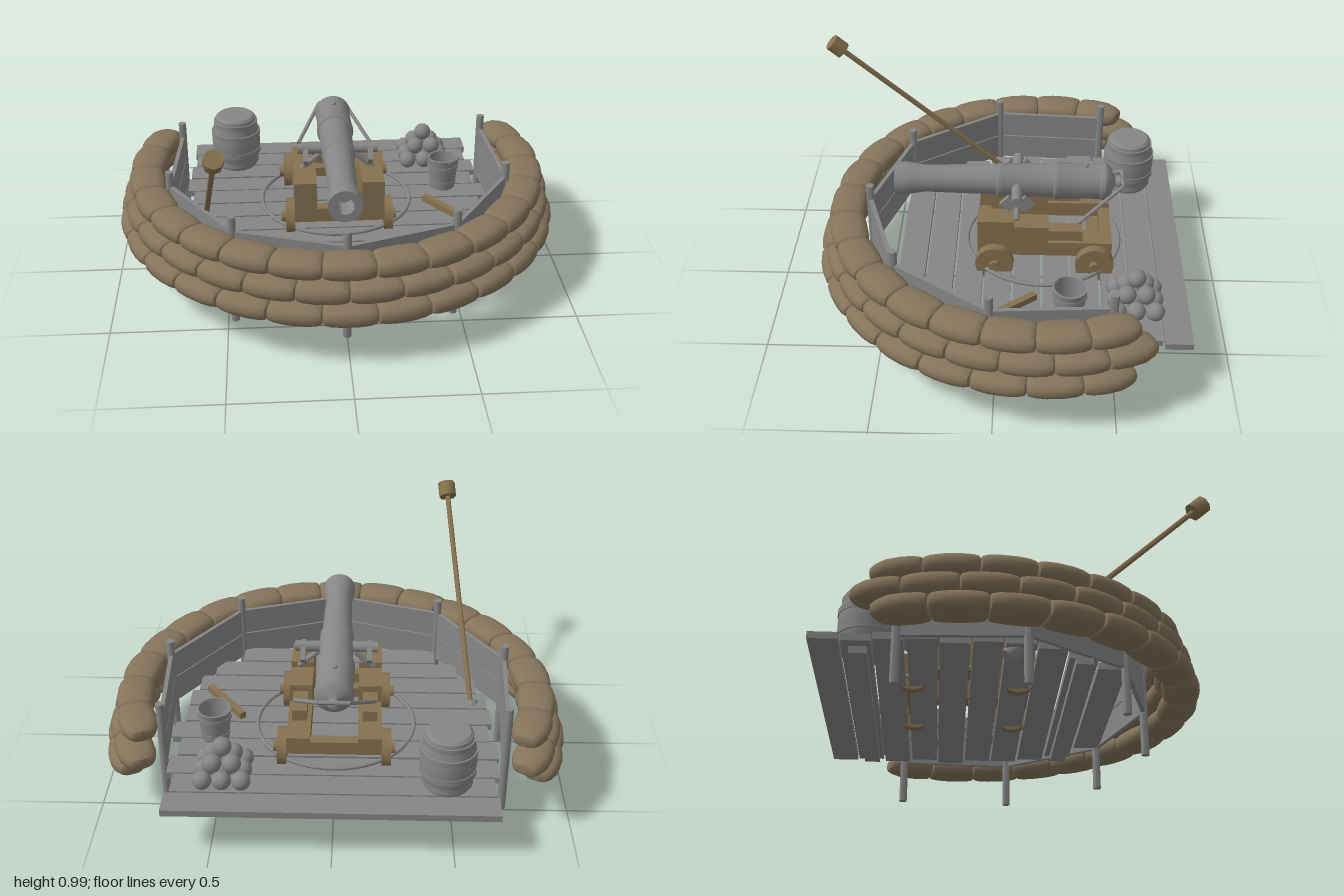
import * as THREE from 'three';
import { toCreasedNormals } from 'three/addons/utils/BufferGeometryUtils.js';

const V = (x, y, z) => new THREE.Vector3(x, y, z);

export function createModel() {
  const root = new THREE.Group();
  const material = (name, color) => {
    const m = new THREE.MeshStandardMaterial({ color });
    m.name = name;
    return m;
  };
  const grey = material('grey', 0x868686);
  const wood = material('wood', 0x86714f);
  const sack = material('sackcloth', 0x85745b);

  const group = (name) => {
    const g = new THREE.Group();
    g.name = name;
    root.add(g);
    return g;
  };
  const add = (parent, name, geo, mat, x = 0, y = 0, z = 0) => {
    const m = new THREE.Mesh(geo, mat);
    m.name = name;
    m.position.set(x, y, z);
    parent.add(m);
    return m;
  };
  // box given by its limits on each axis
  const block = (parent, name, mat, x0, x1, y0, y1, z0, z1) =>
    add(parent, name, new THREE.BoxGeometry(x1 - x0, y1 - y0, z1 - z0), mat,
      (x0 + x1) / 2, (y0 + y1) / 2, (z0 + z1) / 2);
  // cylinder between two points
  const rod = (parent, name, mat, a, b, r, sides = 10) => {
    const geo = toCreasedNormals(new THREE.CylinderGeometry(r, r, a.distanceTo(b), sides), 0.8);
    const m = add(parent, name, geo, mat);
    m.position.copy(a).add(b).multiplyScalar(0.5);
    m.quaternion.setFromUnitVectors(V(0, 1, 0), b.clone().sub(a).normalize());
    return m;
  };
  const lathe = (pts, sides) => toCreasedNormals(
    new THREE.LatheGeometry(pts.map(p => new THREE.Vector2(p[0], p[1])), sides), 0.6);

  // deck planks: x from, x to, z from
  const deck = group('deck');
  [
    [-0.68, 0.69, -0.82], [-0.67, 0.67, -0.695], [-0.69, 0.70, -0.57], [-0.70, 0.67, -0.44],
    [-0.67, 0.71, -0.315], [-0.69, 0.67, -0.187], [-0.68, 0.67, -0.06], [-0.64, 0.64, 0.067],
    [-0.56, 0.58, 0.195], [-0.46, 0.46, 0.322],
  ].forEach(([x0, x1, z]) => block(deck, 'plank', grey, x0, x1, 0.196, 0.225, z, z + 0.117));
  block(deck, 'joist', grey, -0.62, 0.63, 0.166, 0.196, -0.665, -0.595);
  block(deck, 'joist', grey, -0.57, 0.57, 0.166, 0.196, 0.22, 0.29);

  // posts with two boards between each pair
  const fence = group('fence');
  const posts = [[-0.72, -0.48], [-0.75, 0.02], [-0.47, 0.43], [0, 0.58], [0.47, 0.43], [0.75, 0.02], [0.72, -0.48]];
  posts.forEach(([x, z], i) => {
    rod(fence, 'post', grey, V(x, 0, z), V(x, 0.51, z), 0.018);
    if (!i) return;
    const [px, pz] = posts[i - 1];
    for (const y of [0.255, 0.382]) {
      const b = add(fence, 'wallBoard', new THREE.BoxGeometry(Math.hypot(x - px, z - pz), 0.122, 0.018),
        grey, (x + px) / 2, y, (z + pz) / 2);
      b.rotation.y = -Math.atan2(z - pz, x - px);
    }
  });

  // sandbags: a plump lathe bent along an arc, with a squarish cross-section
  const bagProfile = [[0, -0.5], [0.7, -0.5], [0.86, -0.47], [0.95, -0.36], [1, -0.15],
    [1, 0.15], [0.95, 0.36], [0.86, 0.47], [0.7, 0.5], [0, 0.5]];
  const square = (v) => Math.sign(v) * Math.pow(Math.abs(v), 0.75);
  const sandbag = (radius, y, mid, arc, taper) => {
    const geo = new THREE.LatheGeometry(bagProfile.map(p => new THREE.Vector2(...p)), 16);
    const p = geo.attributes.position;
    for (let i = 0; i < p.count; i++) {
      const t = p.getY(i);
      const s = taper * t > 0 ? 1 - 1.2 * t * t : 1;
      const len = Math.hypot(p.getX(i), p.getZ(i)) || 1;
      const r = radius + square(p.getX(i) / len) * len * 0.08 * s;
      const a = mid + t * arc;
      p.setXYZ(i, r * Math.sin(a), y + square(p.getZ(i) / len) * len * 0.046 * s, -0.19 + r * Math.cos(a));
    }
    return toCreasedNormals(geo, 0.75);
  };
  const bags = group('sandbagWall');
  [[0.92, 0.226, 113.5, 17], [0.895, 0.318, 120, 18], [0.865, 0.41, 116, 17]].forEach(([r, y, half, n]) => {
    const h = THREE.MathUtils.degToRad(half), arc = 2 * h / n;
    for (let i = 0; i < n; i++) {
      const taper = i === 0 ? -1 : i === n - 1 ? 1 : 0;
      add(bags, 'sandbag', sandbag(r, y, -h + (i + 0.5) * arc, arc, taper), sack);
    }
  });

  // gun barrel along z, with bore, trunnions and vent
  const gun = group('cannon');
  const barrel = lathe([
    [0, -0.555], [0.018, -0.55], [0.027, -0.533], [0.018, -0.512], [0.03, -0.503], [0.06, -0.495],
    [0.076, -0.478], [0.083, -0.468], [0.083, -0.45], [0.079, -0.445], [0.081, -0.27], [0.084, -0.265],
    [0.084, -0.245], [0.075, -0.24], [0.072, -0.02], [0.075, -0.015], [0.075, 0.005], [0.068, 0.01],
    [0.06, 0.33], [0.07, 0.39], [0.073, 0.41], [0.073, 0.46], [0.038, 0.46], [0.036, 0.36], [0, 0.36],
  ], 28);
  barrel.rotateX(Math.PI / 2);
  add(gun, 'gunBarrel', barrel, grey, 0, 0.556, 0);
  rod(gun, 'trunnions', grey, V(-0.18, 0.556, -0.08), V(0.18, 0.556, -0.08), 0.024, 12);
  add(gun, 'vent', new THREE.SphereGeometry(0.013, 10, 8), grey, 0, 0.636, -0.38);

  // carriage: stepped cheeks, cross beams, axles and wheels
  const carriage = group('carriage');
  for (const s of [-1, 1]) {
    const cheek = (w, y0, y1, z0, z1) =>
      block(carriage, 'cheek', wood, s * 0.15 - w / 2, s * 0.15 + w / 2, y0, y1, z0, z1);
    cheek(0.10, 0.29, 0.36, -0.50, 0.09);
    cheek(0.064, 0.36, 0.41, -0.37, -0.2);
    cheek(0.10, 0.36, 0.44, -0.22, 0.09);
    cheek(0.10, 0.44, 0.467, -0.07, 0.09);
    for (const z of [-0.425, 0.015]) {
      rod(carriage, 'wheel', wood, V(s * 0.2, 0.265, z), V(s * 0.24, 0.265, z), 0.085, 16);
      rod(carriage, 'hub', wood, V(s * 0.24, 0.265, z), V(s * 0.26, 0.265, z), 0.024, 10);
    }
    // trunnion clamps
    for (const z of [-0.045, -0.115]) {
      const c = add(carriage, 'trunnionClamp', new THREE.BoxGeometry(0.022, 0.056, 0.056), grey, s * 0.145, 0.53, z);
      c.rotation.x = Math.PI / 4;
    }
    rod(carriage, 'clampLeg', grey, V(s * 0.08, 0.53, -0.08), V(s * 0.165, 0.455, -0.08), 0.012);
    // rope from the cheek up to the breech
    rod(carriage, 'breechRope', grey, V(s * 0.17, 0.45, -0.35), V(s * 0.06, 0.57, -0.545), 0.009, 8);
  }
  rod(carriage, 'breechRopeLoop', grey, V(-0.06, 0.57, -0.545), V(0.06, 0.57, -0.545), 0.009, 8);
  for (const [z0, z1] of [[-0.5, -0.45], [0.04, 0.09]])
    block(carriage, 'crossBeam', wood, -0.2, 0.2, 0.28, 0.34, z0, z1);
  for (const z of [-0.425, 0.015])
    block(carriage, 'axle', wood, -0.21, 0.21, 0.245, 0.29, z - 0.025, z + 0.025);

  // rope ring lying on the deck
  const ring = add(root, 'ropeRing', new THREE.TorusGeometry(0.345, 0.009, 8, 48), grey, 0, 0.24, -0.2);
  ring.rotation.x = Math.PI / 2;

  // powder barrel with hoops
  const keg = group('powderBarrel');
  keg.position.set(-0.47, 0.225, -0.61);
  add(keg, 'staves', lathe([[0, 0], [0.095, 0], [0.112, 0.06], [0.118, 0.13], [0.112, 0.19],
    [0.1, 0.235], [0.097, 0.255], [0.085, 0.266], [0, 0.268]], 24), grey);
  for (const [y, r] of [[0.03, 0.107], [0.085, 0.119], [0.175, 0.119], [0.228, 0.106]])
    add(keg, 'hoop', lathe([[r - 0.01, -0.012], [r, -0.012], [r, 0.012], [r - 0.01, 0.012]], 24), grey, 0, y, 0);

  // open bucket
  const bucket = group('bucket');
  bucket.position.set(0.52, 0.225, -0.31);
  add(bucket, 'pail', lathe([[0, 0], [0.058, 0], [0.074, 0.15], [0.066, 0.15], [0.054, 0.03], [0, 0.03]], 20), grey);
  for (const [y, r] of [[0.035, 0.065], [0.115, 0.074]])
    add(bucket, 'bucketHoop', lathe([[r - 0.008, -0.008], [r, -0.008], [r, 0.008], [r - 0.008, 0.008]], 20), grey, 0, y, 0);
  const handle = add(bucket, 'handle', new THREE.TorusGeometry(0.07, 0.005, 6, 20, Math.PI), grey, 0, 0.148, 0);
  handle.rotation.x = Math.PI / 2 - 0.1;

  // pyramid of shot
  const shot = group('shotPile');
  const ball = new THREE.SphereGeometry(0.04, 16, 12);
  for (let layer = 0; layer < 3; layer++) {
    const n = 3 - layer;
    for (let i = 0; i < n * n; i++)
      add(shot, 'shot', ball, grey, 0.455 + ((i % n) - (n - 1) / 2) * 0.08, 0.265 + layer * 0.057,
        -0.59 + (Math.floor(i / n) - (n - 1) / 2) * 0.08);
  }

  // loose lever lying on the deck
  const lever = add(root, 'lever', new THREE.BoxGeometry(0.03, 0.03, 0.28), wood, 0.5, 0.24, -0.055);
  lever.rotation.y = Math.atan2(0.17, 0.22);

  // ramming staff leaning over the wall
  const staff = group('rammer');
  const foot = V(-0.615, 0.18, -0.04), tip = V(-0.51, 0.935, 0.765);
  const dir = tip.clone().sub(foot).normalize();
  rod(staff, 'shaft', wood, foot, tip, 0.012);
  rod(staff, 'rammerHead', wood, tip.clone().addScaledVector(dir, -0.035), tip.clone().addScaledVector(dir, 0.035), 0.04, 8);
  rod(staff, 'spongeHead', grey, foot.clone().addScaledVector(dir, -0.02), foot.clone().addScaledVector(dir, 0.06), 0.035, 10);

  return root;
}
